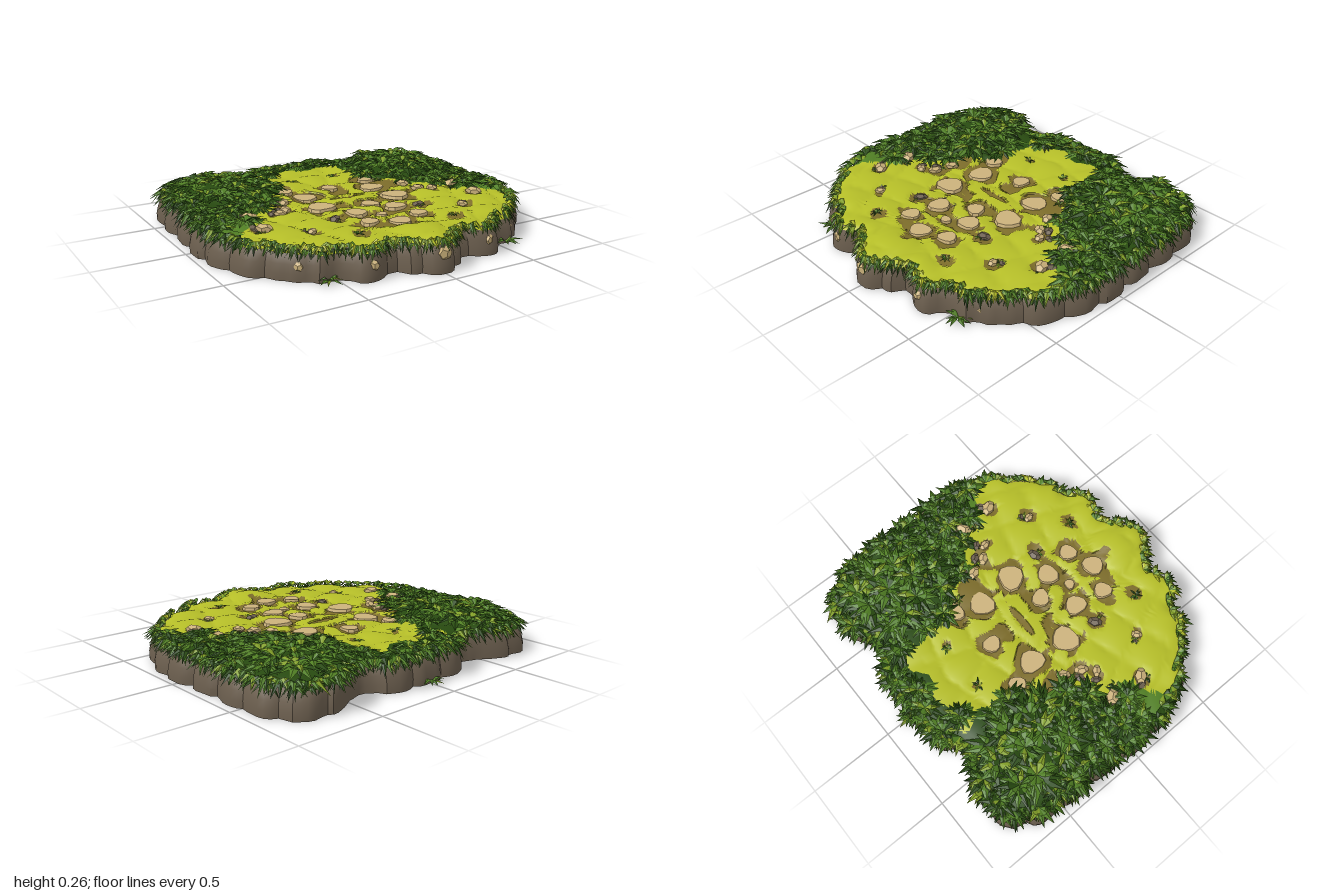
import * as THREE from 'three';
import { toCreasedNormals } from 'three/addons/utils/BufferGeometryUtils.js';

const mat = (name, color, side = THREE.FrontSide) => {
  const m = new THREE.MeshStandardMaterial({ color, side });
  m.name = name;
  return m;
};

export function createModel() {
  const group = new THREE.Group();
  const M = {
    rock: mat('grey brown rock', 0x6b5e4e),
    under: mat('dark earth', 0x655544),
    earth: mat('pale earth', 0xc9b070),
    dirt: mat('olive dirt', 0x7c6c2a),
    moss: mat('lime moss', 0xb6bf28, THREE.DoubleSide),
    stone: mat('tan stone', 0xccb27c),
    shade: mat('deep green undergrowth', 0x284a10, THREE.DoubleSide),
    leaf: mat('green leaf', 0x517f24, THREE.DoubleSide),
    bright: mat('light leaf', 0x83a028, THREE.DoubleSide),
  };
  let seed = 7;
  const rnd = () => (seed = (seed * 16807) % 2147483647) / 2147483647;
  const add = (name, geo, material) => {
    const m = new THREE.Mesh(geo, material);
    m.name = name;
    group.add(m);
    return m;
  };

  // Mirrored outline of the island, front tip round to the back
  const half = [[0, 0.93], [0.14, 0.86], [0.2, 0.78], [0.32, 0.83], [0.43, 0.82], [0.5, 0.73], [0.61, 0.72],
    [0.73, 0.6], [0.85, 0.48], [0.93, 0.31], [0.975, 0.1], [0.965, -0.1], [0.955, -0.3], [0.955, -0.5],
    [0.92, -0.69], [0.82, -0.82], [0.65, -0.84], [0.5, -0.78], [0.38, -0.73], [0.28, -0.82], [0.15, -0.85], [0, -0.85]];
  const loop = [...half, ...half.slice(1, -1).reverse().map(([x, z]) => [-x, z])];
  const SEG = 184;
  const outline = new THREE.CatmullRomCurve3(loop.map(([x, z]) => new THREE.Vector3(x, 0, z)), true)
    .getSpacedPoints(SEG).slice(0, SEG)
    .map((p, i) => {
      const t = (i / SEG) * Math.PI;
      return p.multiplyScalar(1 - 0.035 * (1 - Math.abs(Math.cos(t * 30))) ** 2 - 0.008 * (1 - Math.abs(Math.sin(t * 52))));
    });

  // Stepping stones: x, z, radius
  const mirrorPairs = (list) => list.flatMap(([x, z, r]) => [[x, z, r], [-x, z, r]]);
  const stones = [[0, -0.24, 0.05], [0.04, 0.155, 0.052], [0, 0.34, 0.03], [0, 0.52, 0.06],
    ...mirrorPairs([[0.225, -0.13, 0.07], [0.245, 0.1, 0.075], [0.125, 0.28, 0.06], [0.155, 0.46, 0.05], [0.28, -0.28, 0.05]])];
  // Bare spots away from the stones, and moss pads growing between the stones
  const bare = [[0, 0.6, 0.04], [0, -0.15, 0.06], [0, 0.1, 0.05], ...mirrorPairs([[0.43, 0.02, 0.055], [0.38, -0.12, 0.06], [0.5, 0.1, 0.04],
    [0.67, 0.12, 0.045], [0.49, 0.43, 0.045], [0.29, 0.59, 0.045], [0.14, -0.45, 0.022], [0.27, 0.31, 0.055], [0.68, 0.29, 0.045],
    [0.2, -0.03, 0.05], [0.1, 0.1, 0.05], [0.08, 0.36, 0.035]])];
  const pads = [[0, 0.235, 0.045], ...mirrorPairs([[0.13, 0.18, 0.05], [0.22, 0.2, 0.04], [0.13, -0.23, 0.04], [0.31, 0.01, 0.04]])];
  const near = (list, x, z, grow) => list.some(([cx, cz, r]) => Math.hypot(x - cx, z - cz) < r + grow);

  // Ground rules
  const isShrub = (x, z) => z < -0.66 + 0.03 * Math.sin(x * 25)
    || Math.abs(x) > Math.max(0.28, 0.35 + (z + 0.25) * 0.8) + 0.03 * Math.sin(z * 26);
  const isDirt = (x, z) => {
    const wobble = 0.012 * Math.sin(x * 41) + 0.012 * Math.cos(z * 47 + x * 9);
    if (Math.hypot(x / 0.11, (z + 0.02) / 0.022) < 1) return true;
    const arch = (half, mid, bend, width) => Math.abs(x) < half && Math.abs(z - mid - bend * x * x) < width;
    if (arch(0.22, -0.07, 1, 0.032) || arch(0.18, 0.035, -1, 0.026) || arch(0.24, 0.405, -0.8, 0.022)) return false;
    if (near(pads, x, z, wobble)) return false;
    return near(stones, x, z, 0.034 + wobble) || near(bare, x, z, wobble);
  };
  const height = (x, z) => {
    const ax = Math.abs(x);
    const centre = Math.exp(-(x * x / 0.12 + (z - 0.1) ** 2 / 0.2));
    let y = 0.165 - 0.01 * centre;
    y += 0.018 * Math.sqrt(Math.abs(Math.sin(ax * 13 + z * 5 + 1) * Math.cos(z * 14 - ax * 4))) - 0.008;
    y += 0.052 * Math.exp(-((ax - 0.6) ** 2 + (z + 0.45) ** 2) / 0.06);
    y += 0.022 * Math.exp(-(x * x + (z - 0.75) ** 2) / 0.03);
    if (!isShrub(x, z) && isDirt(x, z)) y -= 0.01;
    return y;
  };

  // Skin over successive rings; pick() chooses the material of each triangle
  const loft = (name, rings, materials, pick, crease) => {
    const pos = rings.flat().flatMap((p) => [p.x, p.y, p.z]);
    const lists = materials.map(() => []);
    for (let j = 0; j < rings.length - 1; j++) {
      for (let i = 0; i < SEG; i++) {
        const k = (i + 1) % SEG, a = j * SEG, b = a + SEG;
        for (const t of [[a + i, b + k, b + i], [a + i, a + k, b + k]]) {
          const x = (pos[t[0] * 3] + pos[t[1] * 3] + pos[t[2] * 3]) / 3;
          const z = (pos[t[0] * 3 + 2] + pos[t[1] * 3 + 2] + pos[t[2] * 3 + 2]) / 3;
          lists[pick(j, x, z)].push(...t);
        }
      }
    }
    const geo = new THREE.BufferGeometry();
    geo.setAttribute('position', new THREE.Float32BufferAttribute(pos, 3));
    geo.setIndex(lists.flat());
    let start = 0;
    lists.forEach((l, i) => { geo.addGroup(start, l.length, i); start += l.length; });
    return add(name, toCreasedNormals(geo, crease), materials);
  };
  const circle = (r, y) => outline.map((p) => {
    const a = Math.atan2(p.x, p.z);
    return new THREE.Vector3(r * Math.sin(a), y, r * Math.cos(a));
  });
  const scaled = (s, y) => outline.map((p) => new THREE.Vector3(p.x * s, y, p.z * s));

  // Underside with a shallow round recess
  loft('underside', [circle(0, 0.035), circle(0.225, 0.035), circle(0.25, 0), circle(0.415, 0), scaled(1, 0)],
    [M.earth, M.dirt, M.under], (j) => [0, 1, 0, 2][j], 0.5);

  // Bulging rock wall
  loft('rockWall', [scaled(1, 0), scaled(1, 0.04), scaled(0.99, 0.085), scaled(0.975, 0.125), scaled(0.945, 0.155)],
    [M.rock], () => 0, 0.6);

  // Ground: moss, dirt, undergrowth and low leafy patches
  const RINGS = 64;
  const groundRings = Array.from({ length: RINGS + 1 }, (_, j) => {
    const s = 1 - j / RINGS;
    return outline.map((p) => {
      const x = p.x * s * 0.975, z = p.z * s * 0.975;
      return new THREE.Vector3(x, height(x, z) - 0.03 * s ** 24, z);
    });
  });
  loft('ground', groundRings, [M.moss, M.dirt, M.shade, M.leaf],
    (j, x, z) => (isShrub(x, z) ? (z > 0.05 ? 3 : 2) : isDirt(x, z) ? 1 : 0), 1.0);

  // Flat, unevenly rounded stepping stones
  stones.forEach(([x, z, r]) => {
    const geo = new THREE.CylinderGeometry(r * 0.98, r * 1.06, 0.018, 11);
    const p = geo.attributes.position, phase = rnd() * 6;
    for (let i = 0; i < p.count; i++) {
      const a = Math.atan2(p.getX(i), p.getZ(i));
      const f = 1 + 0.09 * Math.sin(a * 3 + phase) + 0.06 * Math.cos(a * 2 + phase * 2);
      p.setXYZ(i, p.getX(i) * f, p.getY(i), p.getZ(i) * f);
    }
    add('steppingStone', toCreasedNormals(geo, 0.4), M.stone).position.set(x, height(x, z) + 0.006, z);
  });

  // Rubble at the sides of the clearing
  const lump = (name, x, y, z, r, material, flat = 0.6) => {
    const m = add(name, new THREE.DodecahedronGeometry(r), material);
    m.position.set(x, y, z);
    m.rotation.y = rnd() * 6;
    m.scale.set(1.2, flat, 0.85);
    return m;
  };
  const rubble = [[0.67, 0.08, 0.045], [0.44, 0.05, 0.035], [0.4, -0.05, 0.035], [0.68, 0.28, 0.042], [0.48, 0.43, 0.028], [0.5, 0.11, 0.03]];
  for (const s of [-1, 1]) {
    for (const [x, z, r] of rubble) {
      lump('rubbleStone', s * x, height(x, z) + 0.012, z, r, M.stone);
      lump('rubbleRock', s * (x + 0.035), height(x, z) + 0.003, z - 0.035, r * 0.85, M.rock);
    }
    lump('darkRock', s * 0.27, 0.155, 0.3, 0.035, M.rock);
  }

  // Pale stones set in the front of the wall
  for (const [x, y, r] of [[0, 0.105, 0.042], [0.37, 0.085, 0.03], [-0.35, 0.08, 0.03], [0.65, 0.065, 0.022], [-0.67, 0.075, 0.027]]) {
    const p = outline.filter((q) => q.z > 0.4).reduce((a, b) => (Math.abs(a.x - x) < Math.abs(b.x - x) ? a : b));
    const m = lump('wallStone', p.x * 0.985, y, p.z * 0.985, r, M.stone);
    m.rotation.y = Math.atan2(p.x, p.z);
    m.scale.set(0.95, 0.95, 0.5);
  }

  // Folded pointed leaves, gathered by colour
  const leaves = { shade: [], leaf: [], bright: [], moss: [] };
  const leaf = (kind, x, y, z, a, len, rise, drop) => {
    const dx = Math.sin(a), dz = Math.cos(a), w = len * 0.16;
    const at = (f, side, h) => [x + dx * len * f + dz * w * side, y + h, z + dz * len * f - dx * w * side];
    const base = at(0, 0, 0), tip = at(1, 0, rise - drop), mid = at(0.45, 0, rise + w * 0.2);
    const l = at(0.4, -1, rise * 0.85), r = at(0.4, 1, rise * 0.85);
    leaves[kind].push(...base, ...r, ...mid, ...mid, ...r, ...tip, ...base, ...mid, ...l, ...mid, ...tip, ...l);
  };
  const rosette = (x, y, z, size, n, kinds, rise, drop, dir = 0, spread = Math.PI * 2) => {
    for (let i = 0; i < n; i++) {
      const a = dir + ((i + rnd() * 0.8) / n - 0.5) * spread;
      leaf(kinds[Math.floor(rnd() * kinds.length)], x, y, z, a,
        size * (0.7 + rnd() * 0.5), rise * (0.5 + rnd()), drop * (0.5 + rnd()));
    }
  };
  const lowMix = ['shade', 'leaf', 'shade', 'shade', 'leaf'];
  const highMix = ['leaf', 'leaf', 'leaf', 'bright', 'shade'];
  const rimMix = ['moss', 'bright', 'leaf', 'leaf', 'bright'];

  // Drooping fringe along the rim
  for (let i = 0; i < SEG; i += 2) {
    const p = outline[i], dir = Math.atan2(p.x, p.z), bush = isShrub(p.x, p.z);
    rosette(p.x * 0.935, 0.165, p.z * 0.935, bush ? 0.1 : 0.075, 6, bush ? highMix : rimMix, 0.014, 0.042, dir, 2.6);
    rosette(p.x * 0.95, 0.148, p.z * 0.95, bush ? 0.08 : 0.062, 6, lowMix, 0.008, 0.04, dir, 2.6);
  }

  // Large star-shaped shrubs over the wooded ground, lighter on the mounds
  const STEP = 0.13;
  for (let gx = -0.845; gx <= 0.86; gx += STEP) {
    for (let gz = -0.76; gz <= 0.4; gz += STEP) {
      const x = gx + (rnd() - 0.5) * 0.07, z = gz + (rnd() - 0.5) * 0.07;
      const inside = outline.some((p) => Math.abs(Math.atan2(p.x, p.z) - Math.atan2(x, z)) < 0.04
        && Math.hypot(p.x, p.z) * 0.92 > Math.hypot(x, z));
      if (inside && isShrub(x, z)) {
        const y = height(x, z), high = y > 0.19;
        rosette(x, y, z, high ? 0.155 : 0.115, 16, ['shade', 'leaf'], 0.016, 0.02);
        rosette(x, y + 0.006, z, high ? 0.12 : 0.085, 9, highMix, high ? 0.026 : 0.016, 0.012);
      }
    }
  }

  // Small tufts in the moss and at the foot of the wall
  for (const s of [-1, 1]) {
    for (const [x, z] of [[0.3, 0.59], [0.14, -0.45], [0.27, 0.32], [0.5, 0.4], [0.7, 0.31], [0.45, 0], [0.62, 0.14], [0.33, -0.22]])
      rosette(s * x, height(x, z), z, 0.045, 7, ['leaf', 'shade', 'bright', 'bright'], 0.012, 0.008);
    rosette(s * 0.55, 0.012, 0.73, 0.085, 11, ['leaf', 'bright', 'leaf'], 0.018, 0.012);
  }
  rosette(0, 0.012, -0.85, 0.08, 11, ['leaf', 'bright', 'leaf'], 0.014, 0.012);

  for (const [kind, pos] of Object.entries(leaves)) {
    const geo = new THREE.BufferGeometry();
    geo.setAttribute('position', new THREE.Float32BufferAttribute(pos, 3));
    geo.computeVertexNormals();
    add(kind + 'Foliage', geo, M[kind]);
  }
  return group;
}
